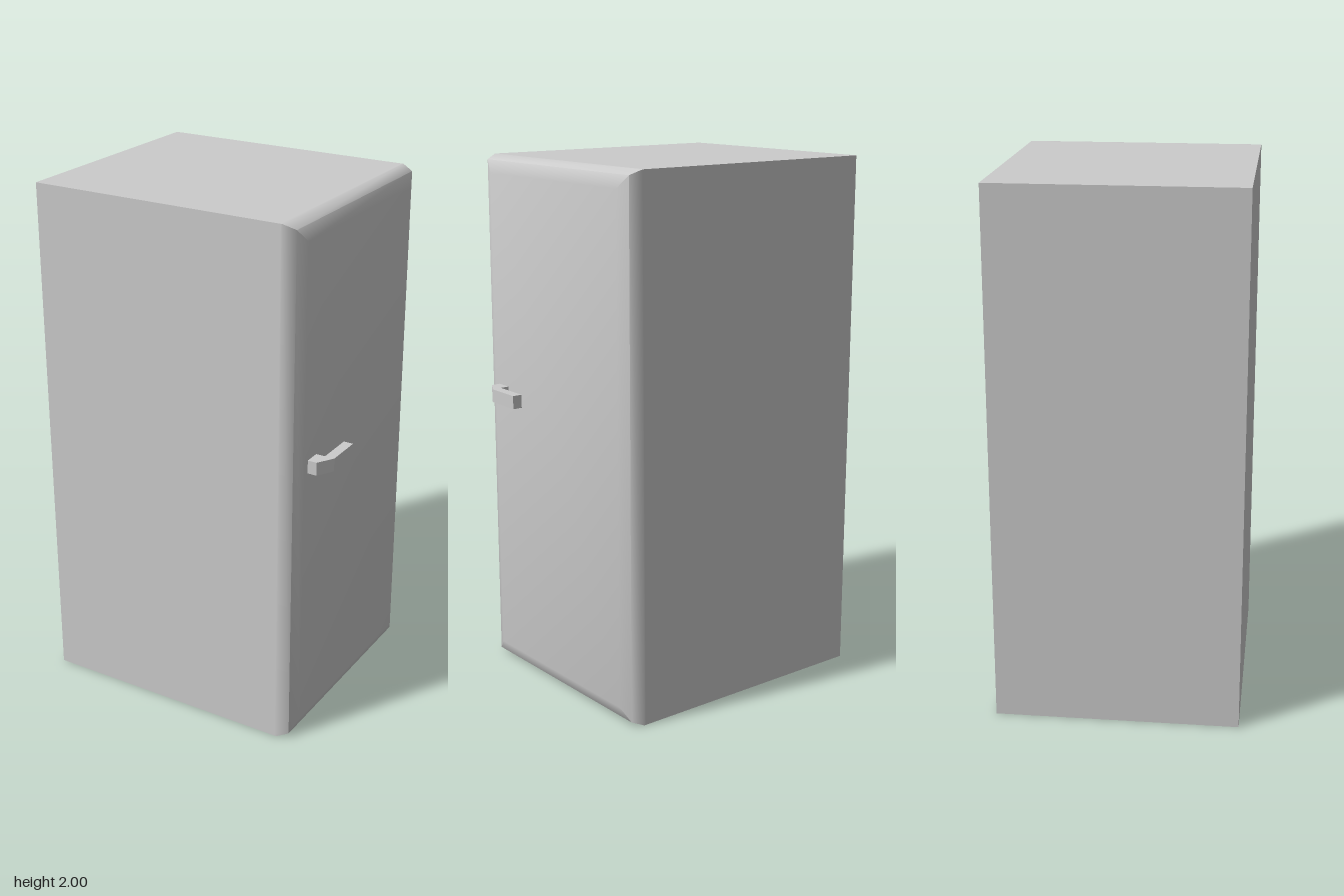
import * as THREE from 'three';
import { toCreasedNormals } from 'three/addons/utils/BufferGeometryUtils.js';

const HEIGHT = 2, HALF_DEPTH = 0.455;

// Rectangular section at x, shrunk by inset on all four sides
function section(x, inset) {
  const top = HEIGHT - inset, z = HALF_DEPTH - inset;
  return [[x, inset, -z], [x, top, -z], [x, top, z], [x, inset, z]];
}

// Skin successive sections along +x and cap both ends
function loft(rings) {
  const pos = [];
  const quad = (a, b, c, d) => pos.push(...a, ...b, ...c, ...a, ...c, ...d);
  for (let i = 0; i < rings.length - 1; i++) {
    for (let j = 0; j < 4; j++) {
      const k = (j + 1) % 4;
      quad(rings[i][j], rings[i][k], rings[i + 1][k], rings[i + 1][j]);
    }
  }
  quad(...rings[rings.length - 1]);
  quad(...[...rings[0]].reverse());
  const geometry = new THREE.BufferGeometry();
  geometry.setAttribute('position', new THREE.Float32BufferAttribute(pos, 3));
  return toCreasedNormals(geometry, THREE.MathUtils.degToRad(50));
}

export function createModel() {
  const group = new THREE.Group();
  group.name = 'refrigerator';
  const material = new THREE.MeshStandardMaterial({ color: 0xcccccc });

  // Cabinet, with rounded edges around the door face at +x
  const cabinet = new THREE.Mesh(loft([
    section(-0.57, 0),
    section(0.425, 0),
    section(0.432, 0),
    section(0.476, 0.018),
    section(0.495, 0.065),
  ]), material);
  cabinet.name = 'cabinet';
  group.add(cabinet);

  // Hooked door handle: plan outline in x, z, raised along y
  const outline = [
    [0.495, 0.303], [0.53, 0.303], [0.53, 0.16], [0.567, 0.16],
    [0.567, 0.303], [0.53, 0.365], [0.495, 0.365],
  ].map(([x, z]) => new THREE.Vector2(x, -z));
  const handleGeometry = new THREE.ExtrudeGeometry(new THREE.Shape(outline), {
    depth: 0.05, bevelEnabled: false,
  });
  handleGeometry.rotateX(-Math.PI / 2);
  const handle = new THREE.Mesh(handleGeometry, material);
  handle.name = 'doorHandle';
  handle.position.y = 1.085;
  group.add(handle);

  return group;
}
